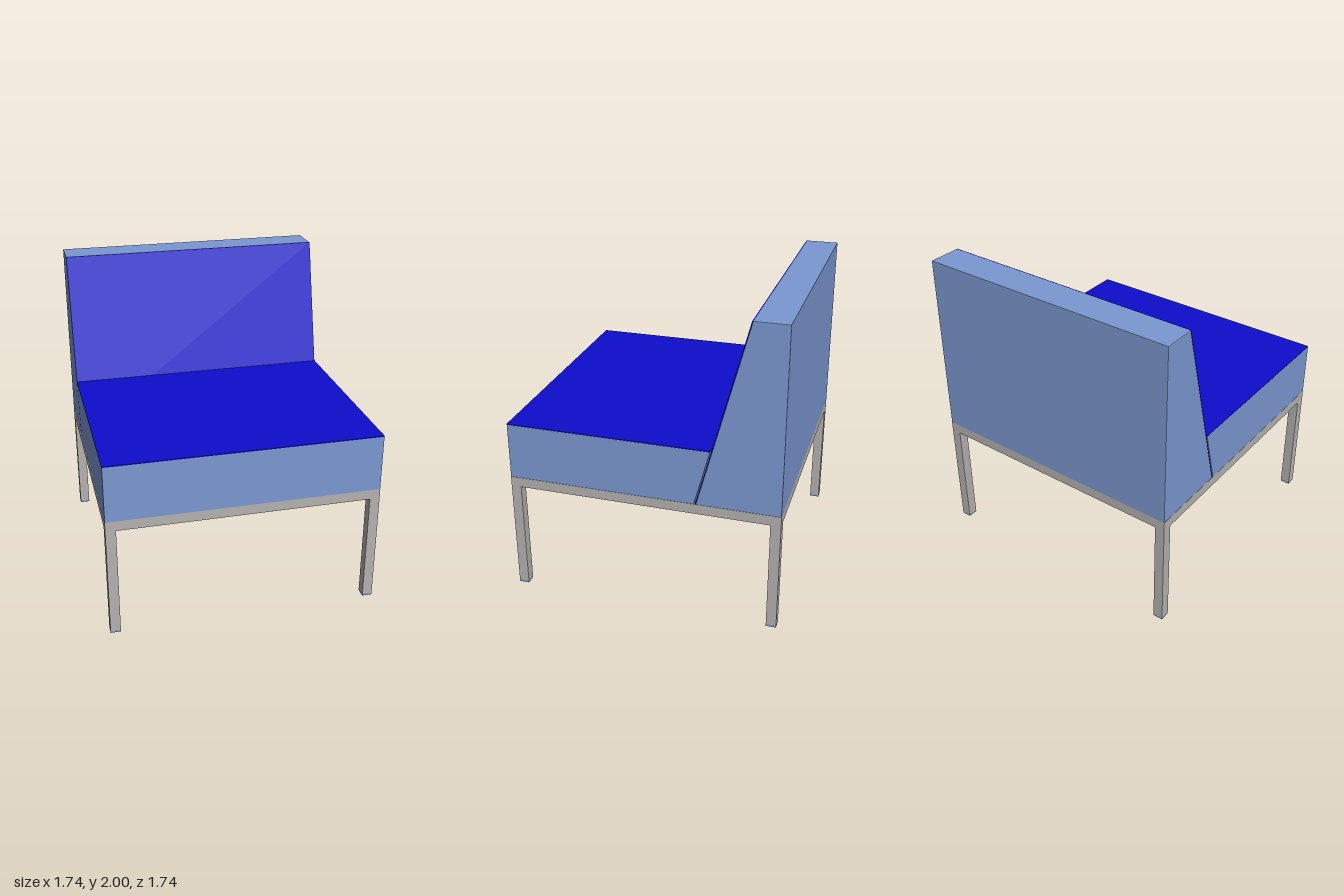
import * as THREE from 'three';

const W = 1.744;          // overall width and depth
const TUBE = 0.065;       // square tube size
const FRAME_TOP = 0.8;
const FOOT = 0.012;
const SEAT_TOP = 1.172;
const COVER = 0.006;      // thickness of the coloured covers

const mat = (color) => new THREE.MeshStandardMaterial({ color });

export function createModel() {
  const group = new THREE.Group();
  const sideFabric = mat(0x7b98d0);
  const coverFabric = mat(0x0d0dcc);
  const metal = mat(0xb4b2b0);

  const add = (name, geometry, material) => {
    const mesh = new THREE.Mesh(geometry, material);
    mesh.name = name;
    group.add(mesh);
    return mesh;
  };

  // Side profile given as [z, y] points, extruded across the width
  const prism = (name, points, material, bevel) => {
    const shape = new THREE.Shape(points.map(([z, y]) => new THREE.Vector2(z, y)));
    const geometry = new THREE.ExtrudeGeometry(shape, {
      depth: W - 2 * bevel, bevelEnabled: true, bevelSegments: 2,
      bevelThickness: bevel, bevelSize: bevel, bevelOffset: -bevel,
    });
    geometry.translate(0, 0, bevel - W / 2);
    geometry.rotateY(-Math.PI / 2);
    return add(name, geometry, material);
  };

  const box = (name, w, h, d, x, y, z, material) =>
    add(name, new THREE.BoxGeometry(w, h, d), material).position.set(x, y, z);

  // Sloped joint: z of the backrest front at height y
  const slope = (y) => -0.341 - 0.2625 * (y - FRAME_TOP);
  const front = W / 2;
  const bodyTop = SEAT_TOP - COVER;

  // Seat cushion and its top cover
  const gap = 0.006;
  prism('seatCushion', [
    [front, FRAME_TOP], [front, bodyTop],
    [slope(bodyTop) + gap, bodyTop], [slope(FRAME_TOP) + gap, FRAME_TOP],
  ], sideFabric, 0.003);
  prism('seatCover', [
    [front, bodyTop], [front, SEAT_TOP],
    [slope(SEAT_TOP) + gap, SEAT_TOP], [slope(bodyTop) + gap, bodyTop],
  ], coverFabric, 0.001);

  // Wedge backrest and its front cover
  prism('backrest', [
    [slope(FRAME_TOP) - COVER, FRAME_TOP], [slope(2) - COVER, 2],
    [-front, 2], [-front, FRAME_TOP],
  ], sideFabric, 0.003);
  prism('backrestCover', [
    [slope(FRAME_TOP), FRAME_TOP], [slope(2), 2],
    [slope(2) - COVER, 2], [slope(FRAME_TOP) - COVER, FRAME_TOP],
  ], coverFabric, 0.001);

  // Square-tube frame: rails, legs and foot caps
  const edge = (W - TUBE) / 2;
  const railY = FRAME_TOP - TUBE / 2;
  const legTop = FRAME_TOP - TUBE;
  for (const s of [-1, 1]) {
    box(s > 0 ? 'frontRail' : 'backRail', W, TUBE, TUBE, 0, railY, s * edge, metal);
    box(s > 0 ? 'leftRail' : 'rightRail', TUBE, TUBE, W - 2 * TUBE, s * edge, railY, 0, metal);
    for (const t of [-1, 1]) {
      const name = (t > 0 ? 'front' : 'back') + (s > 0 ? 'Left' : 'Right');
      box(name + 'Leg', TUBE, legTop - FOOT, TUBE, s * edge, (legTop + FOOT) / 2, t * edge, metal);
      box(name + 'Foot', TUBE, FOOT, TUBE, s * edge, FOOT / 2, t * edge, sideFabric);
    }
  }
  return group;
}
